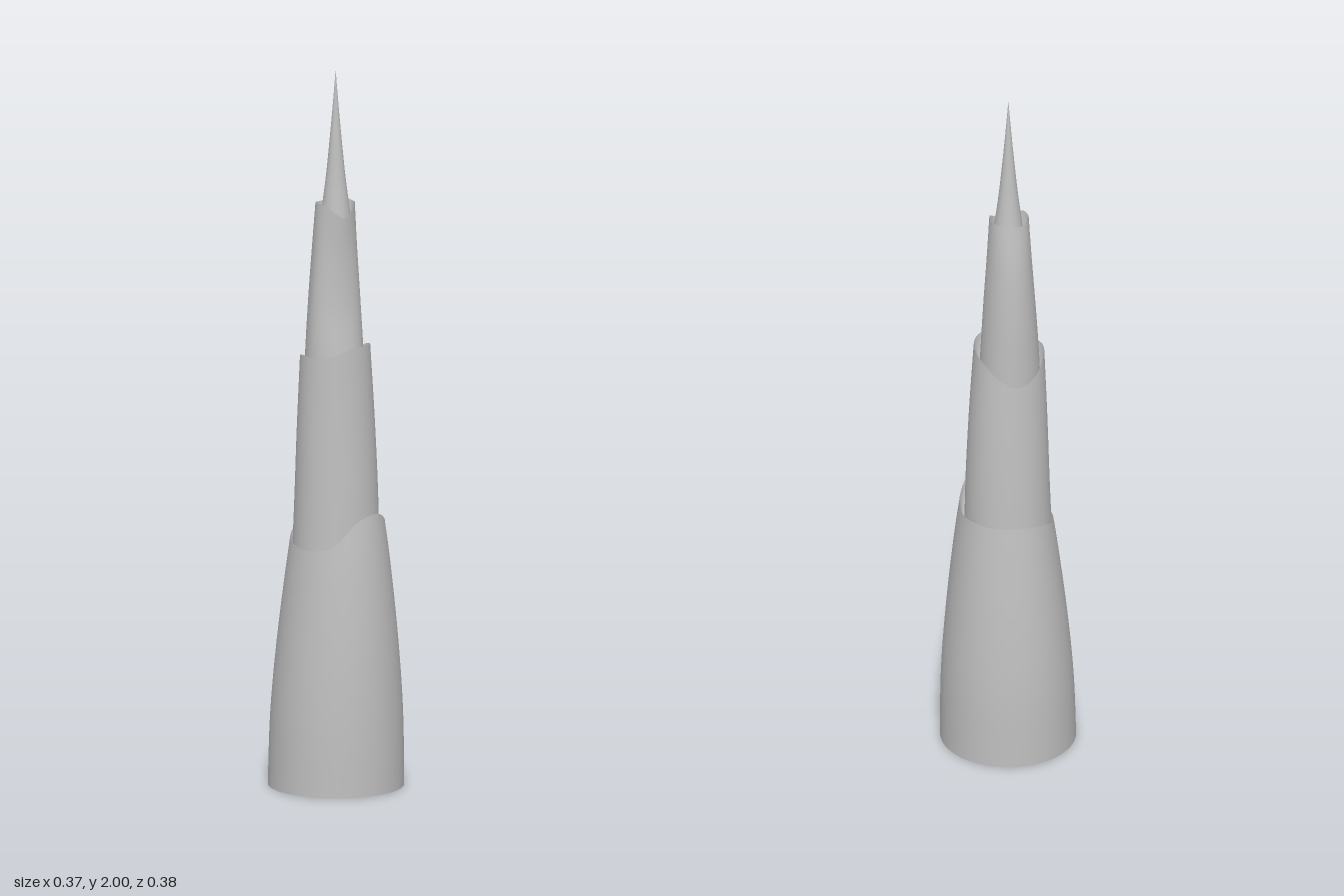
import * as THREE from 'three';

const SEG = 64;

// Cubic blend through evenly spaced values
function cubic(a, b, c, d, t) {
  return b + 0.5 * t * (c - a + t * (2 * a - 5 * b + 4 * c - d + t * (3 * (b - c) + d - a)));
}

// Rim height at an angle, from 12 heights spaced 30 degrees apart (from +x towards +z)
function rimAt(rim, angle) {
  const n = rim.length, f = angle / (2 * Math.PI) * n, i = Math.floor(f);
  const at = k => rim[(i + k + n) % n];
  return cubic(at(-1), at(0), at(1), at(2), f - i);
}

// Resample a short list of profile rows into a smooth one
function smoothRows(rows, steps = 6) {
  const out = [];
  const at = i => rows[Math.max(0, Math.min(rows.length - 1, i))];
  for (let i = 0; i < rows.length - 1; i++) {
    for (let s = 0; s < steps; s++) {
      out.push(at(i).map((v, k) => cubic(at(i - 1)[k], v, at(i + 1)[k], at(i + 2)[k], s / steps)));
    }
  }
  out.push(rows[rows.length - 1]);
  return out;
}

// Skin closed rings; point(row, angle) returns [x, y, z]
function loft(rows, point) {
  const pos = [], idx = [];
  rows.forEach((row, i) => {
    for (let j = 0; j < SEG; j++) {
      pos.push(...point(row, j / SEG * 2 * Math.PI));
      if (i === rows.length - 1) continue;
      const a = i * SEG + j, b = i * SEG + (j + 1) % SEG;
      idx.push(a, a + SEG, b, b, a + SEG, b + SEG);
    }
  });
  const geo = new THREE.BufferGeometry();
  geo.setAttribute('position', new THREE.Float32BufferAttribute(pos, 3));
  geo.setIndex(idx);
  geo.computeVertexNormals();
  return geo;
}

// Point on a ring whose reach differs to the left, right, front and back
function ringXZ([, xNeg, xPos, zNeg, zPos], a, scale = 1) {
  const c = Math.cos(a), s = Math.sin(a);
  return [c * (c < 0 ? xNeg : xPos) * scale, s * (s < 0 ? zNeg : zPos) * scale];
}

export function createModel() {
  const model = new THREE.Group();
  const grey = new THREE.MeshStandardMaterial({ color: 0xbfbfbf });
  grey.name = 'plain grey';

  const add = (parent, name, geo) => {
    const mesh = new THREE.Mesh(geo, grey);
    mesh.name = name;
    parent.add(mesh);
  };

  // A sleeve: outer wall with a wavy rim, recessed inner wall and an underside.
  // Profile rows are [y, reach -x, reach +x, reach -z, reach +z].
  function addSleeve(name, profile, rim, inset, depth) {
    const group = new THREE.Group();
    group.name = name;
    const rows = smoothRows(profile);
    const first = rows[0], last = rows[rows.length - 1];
    const y0 = first[0], y1 = last[0];

    add(group, 'outerWall', loft(rows, (row, a) => {
      const [x, z] = ringXZ(row, a);
      return [x, y0 + (row[0] - y0) / (y1 - y0) * (rimAt(rim, a) - y0), z];
    }));
    add(group, 'innerWall', loft([[1, 0], [inset, depth], [0.3, depth]], ([scale, drop], a) => {
      const [x, z] = ringXZ(last, a, scale);
      return [x, rimAt(rim, a) - drop, z];
    }));
    add(group, 'underside', loft([0, 1], (scale, a) => {
      const [x, z] = ringXZ(first, a, scale);
      return [x, y0, z];
    }));
    model.add(group);
  }

  addSleeve('lowerSleeve', [
    [0, 0.185, 0.187, 0.188, 0.19],
    [0.2, 0.178, 0.184, 0.186, 0.187],
    [0.4, 0.161, 0.17, 0.172, 0.176],
    [0.6, 0.138, 0.149, 0.15, 0.156],
    [0.72, 0.122, 0.133, 0.135, 0.139],
  ], [0.72, 0.745, 0.774, 0.757, 0.692, 0.675, 0.68, 0.69, 0.71, 0.72, 0.72, 0.72], 0.91, 0.06);

  addSleeve('middleSleeve', [
    [0.6, 0.121, 0.122, 0.122, 0.114],
    [0.8, 0.113, 0.118, 0.114, 0.108],
    [1.0, 0.107, 0.109, 0.104, 0.099],
    [1.21, 0.099, 0.095, 0.09, 0.092],
  ], [1.225, 1.233, 1.236, 1.234, 1.212, 1.208, 1.21, 1.195, 1.155, 1.14, 1.165, 1.205], 0.86, 0.06);

  addSleeve('upperSleeve', [
    [1.05, 0.09, 0.083, 0.082, 0.085],
    [1.2, 0.084, 0.077, 0.083, 0.075],
    [1.35, 0.074, 0.07, 0.081, 0.056],
    [1.5, 0.063, 0.06, 0.071, 0.05],
    [1.62, 0.056, 0.052, 0.052, 0.055],
  ], [1.628, 1.628, 1.612, 1.595, 1.612, 1.63, 1.63, 1.628, 1.625, 1.625, 1.628, 1.63], 0.8, 0.05);

  // Needle at the tip
  const needle = smoothRows([[0.05, 1.53], [0.04, 1.6], [0.027, 1.7], [0.017, 1.8], [0.008, 1.9], [0, 2]]);
  add(model, 'needle', new THREE.LatheGeometry(
    needle.map(([r, y]) => new THREE.Vector2(Math.max(0, r), y)), 48));

  return model;
}
